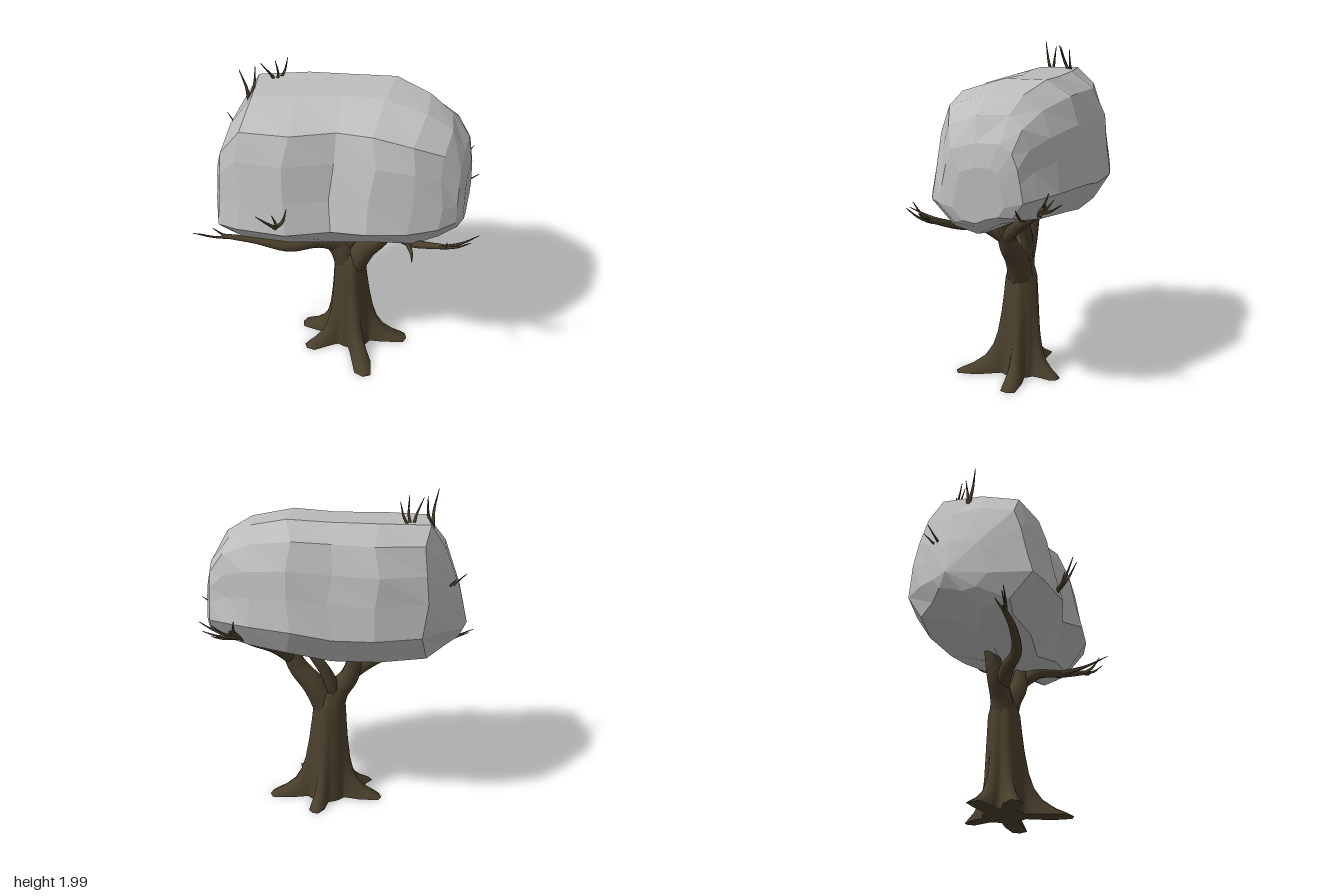
import * as THREE from 'three';

// Skin a list of closed rings, each an array of [x, y, z]
function skin(rings) {
  const n = rings[0].length, index = [];
  for (let i = 0; i < rings.length - 1; i++) {
    for (let j = 0; j < n; j++) {
      const a = i * n + j, b = i * n + (j + 1) % n;
      index.push(a, b, b + n, a, b + n, a + n);
    }
  }
  const geo = new THREE.BufferGeometry();
  geo.setAttribute('position', new THREE.Float32BufferAttribute(rings.flat(2), 3));
  geo.setIndex(index);
  geo.computeVertexNormals();
  return geo;
}

// Tube along a curve whose radius tapers from r0 to r1
function limb(points, r0, r1, sides = 10) {
  const curve = new THREE.CatmullRomCurve3(points.map((p) => new THREE.Vector3(...p)));
  const steps = points.length * 4;
  const geo = new THREE.TubeGeometry(curve, steps, 1, sides, false);
  const pos = geo.attributes.position, v = new THREE.Vector3();
  for (let i = 0; i <= steps; i++) {
    const c = curve.getPointAt(i / steps);
    const r = THREE.MathUtils.lerp(r0, r1, i / steps);
    for (let j = 0; j <= sides; j++) {
      const k = i * (sides + 1) + j;
      v.fromBufferAttribute(pos, k).sub(c).multiplyScalar(r).add(c);
      pos.setXYZ(k, v.x, v.y, v.z);
    }
  }
  return geo;
}

// Crown: cross-sections along x, each a scaled copy of one side profile
function crownGeometry() {
  const profile = [ // z, y in -1..1, from the front round underneath to the back
    [1, -.5], [.6, -.93], [.1, -1], [-.3, -.82], [-.76, -.7], [-1, -.33], [-.93, .1],
    [-.87, .45], [-.74, .8], [-.46, 1], [.1, .98], [.68, .78], [.8, .4], [.9, -.1],
  ];
  const stations = [ // x, low y, high y, back z, front z
    [-.79, 1.2, 1.2, -.07, -.07],
    [-.74, 1.08, 1.42, -.17, .17],
    [-.65, 1.0, 1.67, -.3, .41],
    [-.54, .94, 1.84, -.45, .43],
    [-.26, .94, 1.86, -.55, .45],
    [0, .935, 1.87, -.53, .34],
    [.24, 1.0, 1.885, -.56, .39],
    [.47, 1.02, 1.83, -.47, .34],
    [.62, 1.06, 1.74, -.39, .25],
    [.71, 1.12, 1.6, -.34, .17],
    [.74, 1.15, 1.47, -.24, .07],
    [.74, 1.3, 1.3, -.1, -.1],
  ];
  const rings = stations.map(([x, y0, y1, z0, z1], i) => profile.map(([u, v], j) => {
    const wobble = i > 2 && i < 9 ? .018 : 0;
    return [
      x + wobble * Math.sin(i * 5.1 + j * 2.3),
      (y0 + y1) / 2 + v * (y1 - y0) / 2,
      (z0 + z1) / 2 + u * (z1 - z0) / 2 * (1 - wobble * (1 + Math.sin(i * 3.7 + j * 4.9))),
    ];
  }));
  const geo = skin(rings).toNonIndexed();
  geo.computeVertexNormals();
  return geo;
}

// Trunk: rings whose lobes flare out into five roots near the ground
function trunkGeometry() {
  const roots = [[.17, .37], [.36, -.05], [-.27, .19], [.06, -.27], [-.35, -.05]]
    .map(([x, z]) => [Math.atan2(z, x), Math.hypot(x, z)]);
  const heights = [0, .02, .05, .1, .17, .26, .4, .52, .62, .68, .73];
  const n = 48;
  const rings = heights.map((y) => Array.from({ length: n }, (_, j) => {
    const a = -j / n * Math.PI * 2;
    const share = 1 / (1 + (y / .07) ** 1.5);
    let r = .13 - .06 * y - .4 * Math.max(0, y - .65);
    for (const [angle, reach] of roots) {
      const d = Math.atan2(Math.sin(a - angle), Math.cos(a - angle));
      r += (reach - .13) * share * Math.exp(-((d / .26) ** 4));
    }
    return [.05 - .03 * y + r * Math.cos(a), y, -.07 + r * Math.sin(a)];
  }));
  // flat underside with a hard rim
  rings.unshift(rings[0].map(() => [.05, 0, -.07]), rings[0]);
  return skin(rings);
}

// Spray of thin twigs fanning from a base along a reach vector
function spray([x, y, z], [dx, dy, dz], count) {
  const length = Math.hypot(dx, dy, dz);
  return Array.from({ length: count }, (_, i) => {
    const fan = (k) => (i ? .38 * length * Math.sin(i * 2.4 + k) : 0);
    const size = 1 - .12 * i;
    const tip = [x + dx * size + fan(0), y + dy * size + fan(4) * .6, z + dz * size + fan(2)];
    const middle = [(x + tip[0]) / 2 + .012, (y + tip[1]) / 2 - .01, (z + tip[2]) / 2];
    return limb([[x, y, z], middle, tip], .05 * length + .002, .002, 5);
  });
}

export function createModel() {
  const tree = new THREE.Group();
  const bark = new THREE.MeshStandardMaterial({ color: 0x4a3f2c, side: THREE.DoubleSide });
  const foliage = new THREE.MeshStandardMaterial({ color: 0xbcbcbc, flatShading: true });
  bark.name = 'bark';
  foliage.name = 'foliage';

  const add = (name, geo, mat = bark) => {
    const mesh = new THREE.Mesh(geo, mat);
    mesh.name = name;
    tree.add(mesh);
  };

  add('crown', crownGeometry(), foliage);
  add('trunk', trunkGeometry());

  // Heavy forks
  add('rightFork', limb([[.04, .6, -.07], [.13, .76, -.07], [.23, .88, -.06], [.32, 1.1, -.05]], .085, .04));
  add('leftFork', limb([[.02, .6, -.07], [-.02, .72, -.06], [-.09, .82, -.06], [-.15, 1.04, -.08]], .08, .04));
  // Lighter branches
  add('lowBranch', limb([[-.03, .77, -.06], [-.15, .84, .03], [-.3, .87, .16], [-.5, .93, .22], [-.7, .95, .25]], .05, .013));
  add('middleBranch', limb([[0, .72, -.08], [.05, .86, -.11], [.17, 1.05, -.13]], .045, .025));
  add('frontBranch', limb([[.27, .94, -.05], [.33, 1.01, .05], [.46, 1.04, .16], [.68, 1.12, .25]], .045, .013));
  add('backBranch', limb([[.27, .94, -.06], [.36, 1.05, -.18], [.48, 1.14, -.31], [.58, 1.24, -.42]], .045, .012));

  // Twig sprays: base, reach, number of twigs
  const sprays = [
    [[-.66, .945, .25], [-.17, .035, .05], 3], // end of the low branch
    [[.64, 1.1, .24], [.18, .12, .07], 3], // end of the front branch
    [[.43, 1.03, .15], [.08, .1, .3], 1],
    [[.54, 1.19, -.38], [.13, .12, -.12], 4], // end of the back branch
    [[.55, 1.14, -.28], [.19, .13, .05], 2],
    [[-.3, 1.2, .41], [.02, .19, .13], 3], // front of the crown
    [[-.57, 1.76, -.04], [-.03, .23, .06], 2], // top of the crown
    [[-.45, 1.8, -.21], [.02, .19, .08], 3],
    [[-.66, 1.42, -.14], [-.11, .13, -.06], 2], // side of the crown
  ];
  sprays.forEach(([base, reach, count]) => spray(base, reach, count).forEach((geo) => add('twig', geo)));

  return tree;
}
